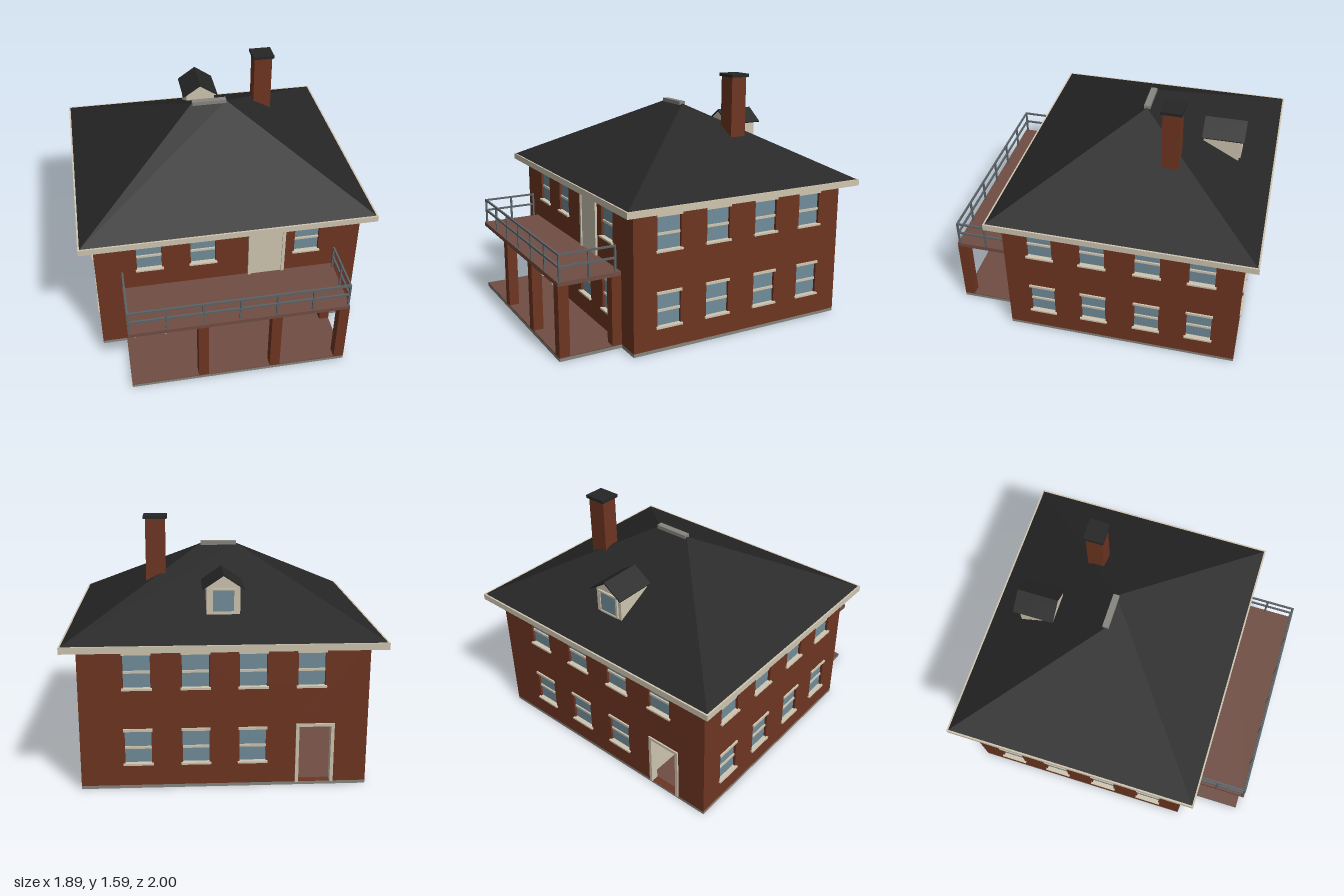
import * as THREE from 'three';

const mat = (name, color) => {
  const m = new THREE.MeshStandardMaterial({ color });
  m.name = name;
  return m;
};

export function createModel() {
  const brick = mat('brick', 0x6e3521);
  const slate = mat('slate', 0x262626);
  const cream = mat('cream trim', 0xcfc5b0);
  const glass = mat('glass', 0x718d9a);
  const stone = mat('stone', 0x87857f);
  const iron = mat('iron', 0x5b6367);
  const deck = mat('deck', 0x6f4d43);

  const house = new THREE.Group();
  house.name = 'house';

  const add = (parent, name, geometry, material) => {
    const mesh = new THREE.Mesh(geometry, material);
    mesh.name = name;
    parent.add(mesh);
    return mesh;
  };
  // Box given by its two extreme corners
  const box = (parent, name, material, x0, x1, y0, y1, z0, z1) => {
    const mesh = add(parent, name, new THREE.BoxGeometry(x1 - x0, y1 - y0, z1 - z0), material);
    mesh.position.set((x0 + x1) / 2, (y0 + y1) / 2, (z0 + z1) / 2);
    return mesh;
  };
  const rect = (Type, x0, x1, y0, y1) => new Type([
    new THREE.Vector2(x0, y0), new THREE.Vector2(x1, y0),
    new THREE.Vector2(x1, y1), new THREE.Vector2(x0, y1)]);
  const extrude = (shape, depth) => new THREE.ExtrudeGeometry(shape, { depth, bevelEnabled: false });

  const T = 0.04, FRONT = 0.597, BACK = -0.91, SIDE = 0.86;
  const LOW = 0.16, HIGH = 0.635;

  // Sash window, outer wall face at z = 0
  const addWindow = (parent, u, y) => {
    const g = new THREE.Group();
    g.name = 'window';
    g.position.set(u, y, 0);
    parent.add(g);
    box(g, 'pane', glass, -0.08, 0.08, 0, 0.22, -0.025, -0.017);
    box(g, 'sashBar', cream, -0.08, 0.08, 0.092, 0.107, -0.03, -0.008);
    box(g, 'lintel', cream, -0.086, 0.086, 0.208, 0.224, -0.02, 0.01);
    box(g, 'sill', cream, -0.09, 0.09, -0.008, 0.004, -0.02, 0.014);
  };
  // Trim around an open doorway
  const addDoorFrame = (parent, u) => {
    const g = new THREE.Group();
    g.name = 'doorFrame';
    g.position.x = u;
    parent.add(g);
    for (const s of [-1, 1]) box(g, 'jamb', cream, s * 0.106 - 0.01, s * 0.106 + 0.01, 0.02, 0.398, -T, 0.01);
    box(g, 'head', cream, -0.096, 0.096, 0.38, 0.398, -T, 0.01);
  };
  // Wall with cut openings; u runs along the wall
  const addWall = (name, x, z, angle, u0, u1, windows, doorU) => {
    const g = new THREE.Group();
    g.name = name;
    g.position.set(x, 0, z);
    g.rotation.y = angle;
    house.add(g);
    const shape = rect(THREE.Shape, u0, u1, 0.02, 0.9);
    for (const [u, y] of windows) {
      shape.holes.push(rect(THREE.Path, u - 0.08, u + 0.08, y, y + 0.218));
      addWindow(g, u, y);
    }
    if (doorU !== undefined) {
      shape.holes.push(rect(THREE.Path, doorU - 0.11, doorU + 0.11, 0.0225, 0.394));
      addDoorFrame(g, doorU);
    }
    add(g, 'brickwork', extrude(shape, T), brick).position.z = -T;
    return g;
  };

  const rows = (list) => list.flatMap((u) => [[u, LOW], [u, HIGH]]);
  const sideZ = [0.36, 0.02, -0.33, -0.67];
  const front = addWall('frontWall', 0, FRONT, 0, -SIDE, SIDE,
    [[-0.515, HIGH], [-0.17, HIGH], [0.51, HIGH], [-0.17, LOW], [0.17, LOW], [0.51, LOW]], -0.545);
  addWall('backWall', 0, BACK, Math.PI, -SIDE, SIDE,
    [...rows([-0.515, -0.17, 0.17]), [0.515, HIGH]], 0.545);
  addWall('rightWall', SIDE, 0, Math.PI / 2, -FRONT + T, -BACK - T, rows(sideZ.map((z) => -z)));
  addWall('leftWall', -SIDE, 0, -Math.PI / 2, BACK + T, FRONT - T, rows(sideZ));

  // Balcony door
  box(front, 'balconyDoor', cream, 0.145, 0.347, 0.485, 0.858, 0, 0.006);
  for (const x of [0.135, 0.357]) box(front, 'balconyDoorJamb', cream, x - 0.01, x + 0.01, 0.485, 0.885, 0, 0.014);
  box(front, 'balconyDoorHead', cream, 0.145, 0.347, 0.858, 0.885, 0, 0.014);

  // Base, floors and hallway
  box(house, 'foundation', stone, -SIDE, SIDE, 0, 0.022, BACK, FRONT);
  box(house, 'hallFloor', deck, -SIDE + T, SIDE - T, 0.02, 0.026, BACK + T, FRONT - T);
  box(house, 'hallPartition', cream, -0.41, -0.38, 0.024, 0.44, BACK + T, FRONT - T);
  box(house, 'ceiling', cream, -SIDE + T, SIDE - T, 0.43, 0.45, BACK + T, FRONT - T);

  // Porch with brick posts and balcony
  box(house, 'porchSlab', stone, -0.7, 0.7, 0, 0.02, FRONT, 1);
  box(house, 'porchFloor', deck, -0.7, 0.7, 0.02, 0.026, FRONT, 1);
  for (const x of [-0.235, 0.233, 0.668]) {
    box(house, 'porchPost', brick, x - 0.033, x + 0.033, 0.025, 0.465, 0.934, 1);
  }
  box(house, 'porchPilaster', brick, 0.635, 0.701, 0.025, 0.465, FRONT - 0.01, 0.66);
  box(house, 'balconyFloor', deck, -0.7, 0.7, 0.463, 0.49, FRONT - 0.01, 1);

  // Balcony railing
  const railing = new THREE.Group();
  railing.name = 'railing';
  house.add(railing);
  const R = 0.006, RX = 0.692, RZ = 0.985;
  const post = (x, z) => box(railing, 'railPost', iron, x - R, x + R, 0.488, 0.655, z - R, z + R);
  for (let i = 0; i <= 6; i++) post(-RX + (i * RX) / 3, RZ);
  for (const s of [-1, 1]) for (const z of [0.8, 0.632]) post(s * RX, z);
  for (const y of [0.578, 0.652]) {
    box(railing, 'frontRail', iron, -RX - R, RX + R, y - R, y + R, RZ - R, RZ + R);
    for (const s of [-1, 1]) box(railing, 'sideRail', iron, s * RX - R, s * RX + R, y - R, y + R, 0.626, RZ - R);
  }

  // Eaves: fascia ring and dark soffit
  const ring = rect(THREE.Shape, -0.947, 0.947, -0.677, 1);
  ring.holes.push(rect(THREE.Path, -0.93, 0.93, -0.66, 0.983));
  const fascia = add(house, 'fascia', extrude(ring, 0.04), cream);
  fascia.rotation.x = -Math.PI / 2;
  fascia.position.y = 0.88;
  box(house, 'soffit', slate, -0.93, 0.93, 0.898, 0.918, -0.983, 0.66);

  // Hipped roof: flat-shaded four slopes meeting in a short ridge
  const a = [-0.938, 0.919, 0.668], b = [0.938, 0.919, 0.668];
  const c = [0.938, 0.919, -0.991], d = [-0.938, 0.919, -0.991];
  const p = [-0.115, 1.368, -0.16], q = [0.115, 1.368, -0.16];
  const roofGeo = new THREE.BufferGeometry();
  roofGeo.setAttribute('position', new THREE.Float32BufferAttribute(
    [a, b, q, a, q, p, b, c, q, c, d, p, c, p, q, d, a, p].flat(), 3));
  roofGeo.computeVertexNormals();
  add(house, 'roof', roofGeo, slate);
  box(house, 'ridgeCap', stone, -0.115, 0.115, 1.358, 1.383, -0.18, -0.14);

  // Chimney
  box(house, 'chimney', brick, 0.342, 0.464, 1.05, 1.567, -0.432, -0.324);
  box(house, 'chimneyCap', slate, 0.33, 0.476, 1.565, 1.585, -0.445, -0.312);

  // Dormer on the back slope
  const poly = (pts) => new THREE.Shape(pts.map(([x, y]) => new THREE.Vector2(x, y)));
  const dormer = new THREE.Group();
  dormer.name = 'dormer';
  house.add(dormer);
  add(dormer, 'dormerWalls', extrude(poly(
    [[-0.1, 1.0], [0.1, 1.0], [0.1, 1.212], [0, 1.28], [-0.1, 1.212]]), 0.235), cream).position.z = -0.765;
  add(dormer, 'dormerRoof', extrude(poly(
    [[-0.125, 1.203], [-0.122, 1.196], [0, 1.278], [0.122, 1.196], [0.125, 1.203], [0, 1.29]]), 0.272), slate).position.z = -0.795;
  box(dormer, 'dormerPane', glass, -0.065, 0.065, 1.06, 1.19, -0.771, -0.764);
  for (const s of [-1, 1]) box(dormer, 'dormerJamb', cream, s * 0.07 - 0.007, s * 0.07 + 0.007, 1.05, 1.2, -0.777, -0.764);
  for (const y of [1.055, 1.195]) box(dormer, 'dormerRail', cream, -0.065, 0.065, y - 0.006, y + 0.006, -0.777, -0.764);

  return house;
}
